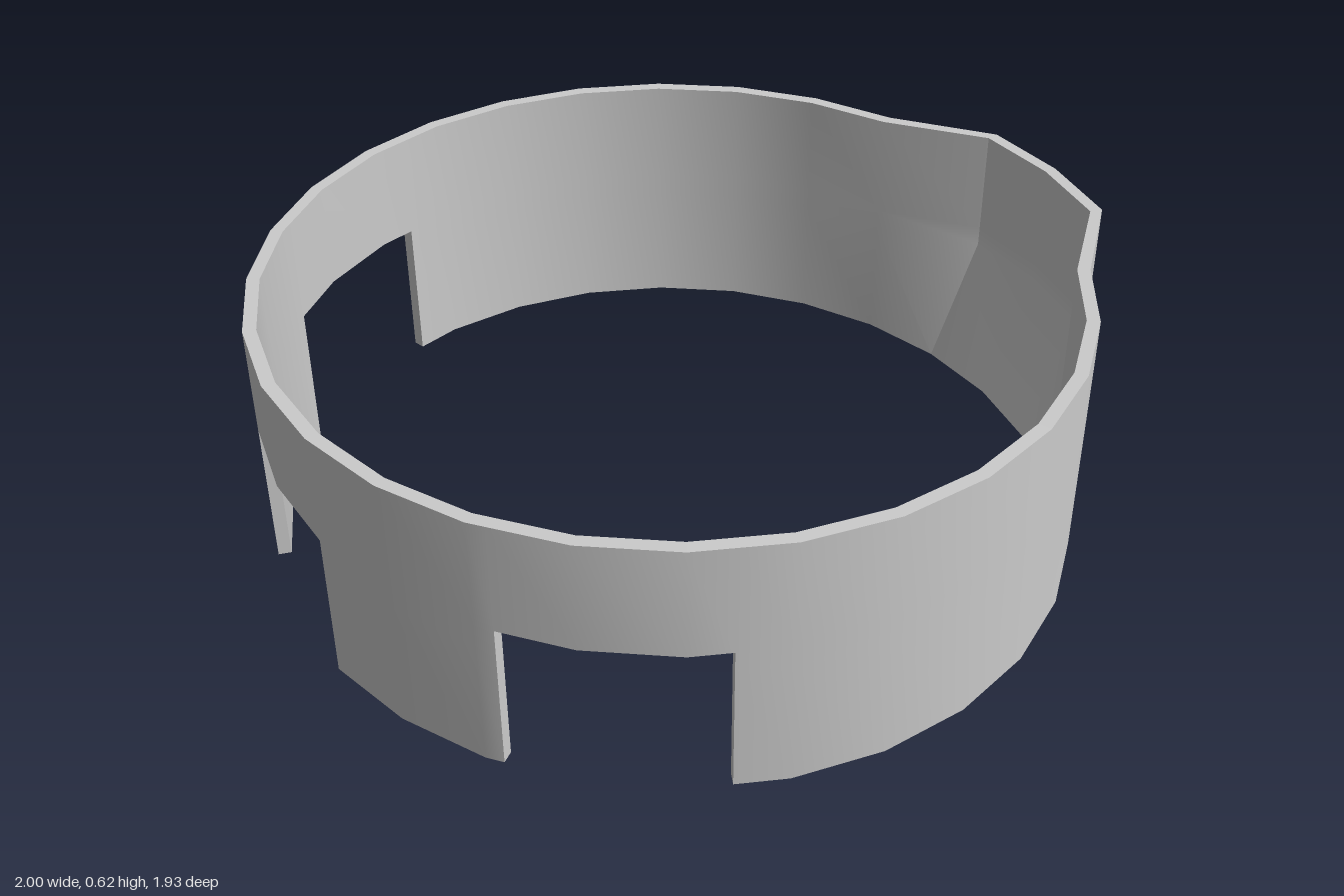
import * as THREE from 'three';
import { toCreasedNormals } from 'three/addons/utils/BufferGeometryUtils.js';

const SIDES = 28;
const HEIGHT = 0.62, NOTCH_TOP = 0.36, BULGE_Y = 0.31;
const LEVELS = [0, BULGE_Y, NOTCH_TOP, HEIGHT];
const OUTER = [0.94, 0.965], INNER = [0.91, 0.935];
const CENTRE_X = -0.06, BULGE = 0.12;
// notches as [start, end], counted in ring sides from +x
const NOTCHES = [[8.56, 10.8], [13, 15], [17.2, 19.44]];

// corner k of the ring; the three corners around +x swell outwards with height
function corner([rx, rz], k, y) {
  const a = (k / SIDES) * Math.PI * 2;
  const near = Math.min(k % SIDES, SIDES - (k % SIDES));
  const swell = near <= 1 ? BULGE * Math.min(y / BULGE_Y, 1) : 0;
  return new THREE.Vector3(CENTRE_X + rx * Math.cos(a) + swell, y, rz * Math.sin(a));
}

// point on the straight side between two corners
function point(radii, k, y) {
  const i = Math.floor(k);
  return corner(radii, i, y).lerp(corner(radii, i + 1, y), k - i);
}

function bandGeometry() {
  const positions = [];
  const quad = (a, b, c, d) => {
    for (const p of [a, b, c, a, c, d]) positions.push(p.x, p.y, p.z);
  };
  const out = (k, y) => point(OUTER, k, y);
  const inn = (k, y) => point(INNER, k, y);

  const stops = [...Array(SIDES + 1).keys(), ...NOTCHES.flat()];
  const ks = [...new Set(stops)].sort((a, b) => a - b);

  for (let i = 0; i < ks.length - 1; i++) {
    const k = ks[i], n = ks[i + 1], mid = (k + n) / 2;
    const open = NOTCHES.some(([s, e]) => mid > s && mid < e);
    const bottom = open ? NOTCH_TOP : 0;
    // outer and inner wall
    for (let j = 0; j < LEVELS.length - 1; j++) {
      const y = LEVELS[j], t = LEVELS[j + 1];
      if (y < bottom) continue;
      quad(out(k, y), out(k, t), out(n, t), out(n, y));
      quad(inn(n, y), inn(n, t), inn(k, t), inn(k, y));
    }
    // top rim and lower edge
    quad(out(k, HEIGHT), inn(k, HEIGHT), inn(n, HEIGHT), out(n, HEIGHT));
    quad(out(n, bottom), inn(n, bottom), inn(k, bottom), out(k, bottom));
  }

  // side faces of the notches
  for (const [s, e] of NOTCHES) {
    for (const [y, t] of [[0, BULGE_Y], [BULGE_Y, NOTCH_TOP]]) {
      quad(out(s, y), out(s, t), inn(s, t), inn(s, y));
      quad(inn(e, y), inn(e, t), out(e, t), out(e, y));
    }
  }

  const geometry = new THREE.BufferGeometry();
  geometry.setAttribute('position', new THREE.Float32BufferAttribute(positions, 3));
  return toCreasedNormals(geometry, Math.PI / 6);
}

export function createModel() {
  const group = new THREE.Group();
  group.name = 'notchedRing';
  const band = new THREE.Mesh(bandGeometry(), new THREE.MeshStandardMaterial({ color: 0xcccccc }));
  band.name = 'band';
  group.add(band);
  return group;
}
